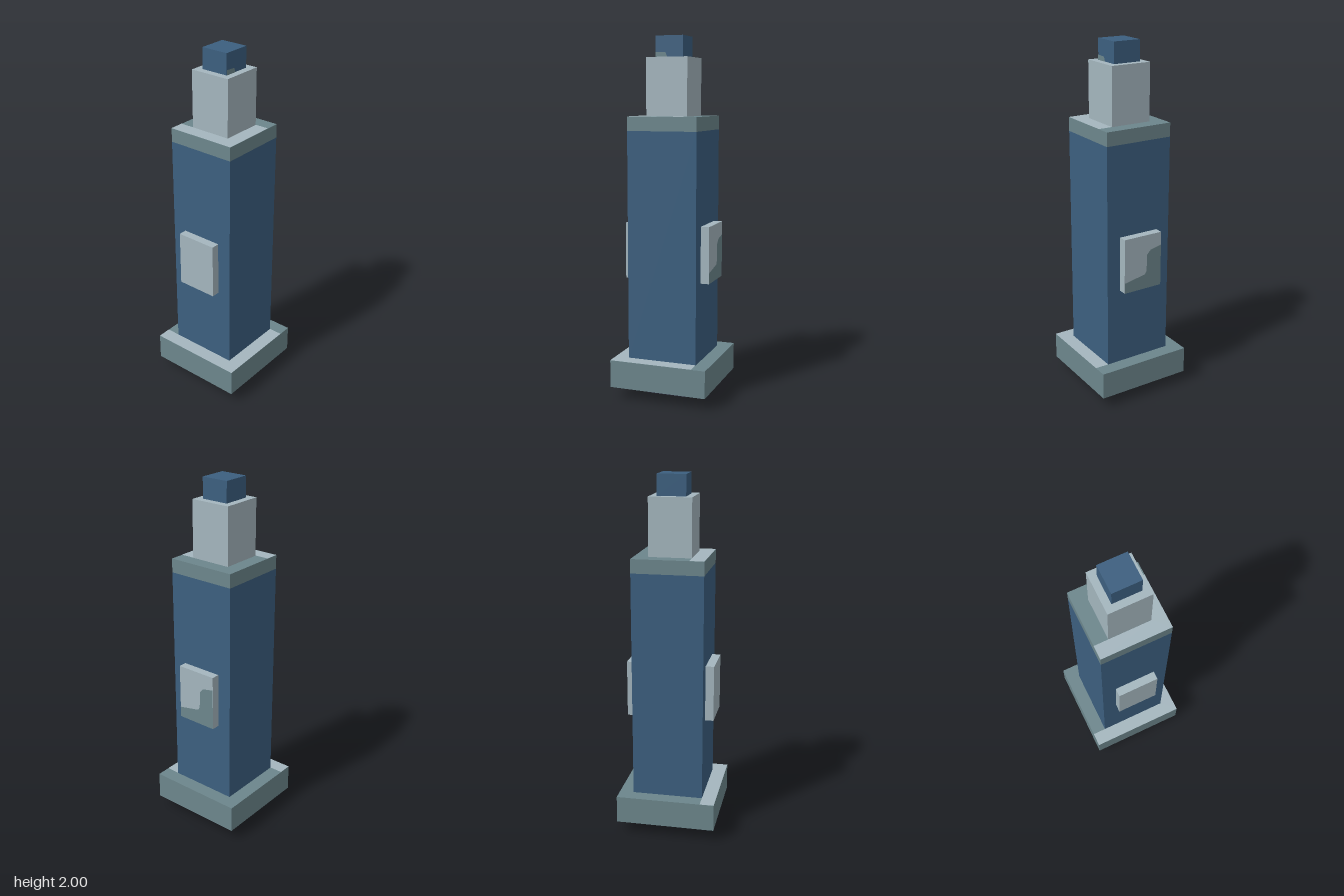
import * as THREE from 'three';

const mat = (name, color) => {
  const m = new THREE.MeshStandardMaterial({ color });
  m.name = name;
  return m;
};

export function createModel() {
  const blue = mat('blue', 0x3c5f7f);
  const pale = mat('pale grey', 0xa4b6be);
  const teal = mat('grey teal', 0x6c868c);
  const dark = mat('dark navy', 0x222234);

  const group = new THREE.Group();
  const add = (name, geometry, material) => {
    const mesh = new THREE.Mesh(geometry, material);
    mesh.name = name;
    group.add(mesh);
    return mesh;
  };
  // Square block from y0 to y1
  const block = (name, half, y0, y1, material) =>
    add(name, new THREE.BoxGeometry(2 * half, y1 - y0, 2 * half), material)
      .position.y = (y0 + y1) / 2;
  const outline = (pts) =>
    new THREE.ShapeGeometry(new THREE.Shape(pts.map(([x, y]) => new THREE.Vector2(x, y))));

  // Stacked tower
  block('foot', 0.118, 0, 0.066, dark);
  block('base', 0.277, 0.066, 0.22, teal);
  block('body', 0.198, 0.22, 1.49, blue);
  block('collar', 0.198, 1.49, 1.567, teal);
  block('neck', 0.118, 1.567, 1.885, pale);
  block('cap', 0.079, 1.885, 2, blue);

  // Pale L-shaped ledges along the front and right of the two collars
  const ledge = (name, o, i, y) => {
    const geo = outline([[-o, -o], [o, -o], [o, i], [i, i], [i, -i], [-o, -i]]);
    add(name, geo.rotateX(-Math.PI / 2), pale).position.y = y + 0.001;
  };
  ledge('baseLedge', 0.277, 0.198, 0.22);
  ledge('collarLedge', 0.198, 0.119, 1.567);

  // Raised panels on the front and back
  for (const [name, s] of [['frontPanel', 1], ['backPanel', -1]]) {
    add(name, new THREE.BoxGeometry(0.236, 0.315, 0.047), pale)
      .position.set(0, 0.8175, s * 0.2215);
  }

  // Stepped teal patch on the back panel
  const patch = add('backPanelPatch', outline([
    [-0.118, 0.66], [0.118, 0.66], [0.118, 0.9], [0.05, 0.885],
    [0.027, 0.86], [0.024, 0.765], [0.012, 0.745], [-0.118, 0.72],
  ]), teal);
  patch.rotation.y = Math.PI;
  patch.position.z = -0.2462;

  // Small teal patch on the right of the cap
  const mark = add('capPatch', outline([
    [-0.079, 1.885], [-0.01, 1.885], [-0.02, 1.91], [-0.079, 1.913],
  ]), teal);
  mark.rotation.y = Math.PI / 2;
  mark.position.x = 0.0802;

  return group;
}
